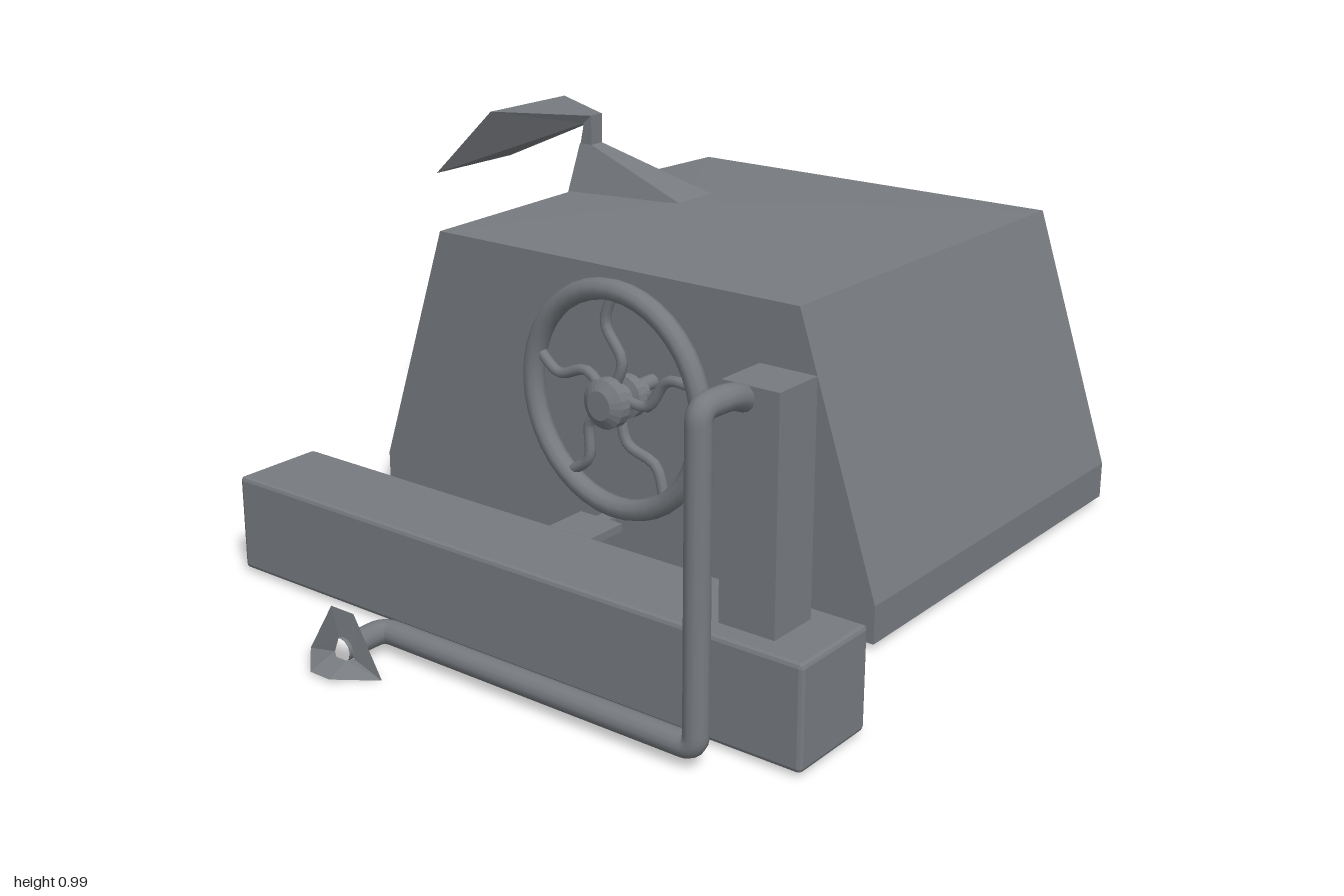
import * as THREE from 'three';
import { ConvexGeometry } from 'three/addons/geometries/ConvexGeometry.js';
import { RoundedBoxGeometry } from 'three/addons/geometries/RoundedBoxGeometry.js';

// Dark blue-grey metal throughout
const color = 0x777b80;
const flat = new THREE.MeshStandardMaterial({ color, flatShading: true, side: THREE.DoubleSide });
const smooth = new THREE.MeshStandardMaterial({ color });
const V = (x, y, z) => new THREE.Vector3(x, y, z);

function add(parent, name, geometry, material = flat) {
  const mesh = new THREE.Mesh(geometry, material);
  mesh.name = name;
  parent.add(mesh);
  return mesh;
}

const hull = (points) => new ConvexGeometry(points.map((p) => V(...p)));

// Box given by its minimum and maximum corners
function box(parent, name, a, b, bevel = 0) {
  const s = b.map((v, i) => v - a[i]);
  const geo = bevel ? new RoundedBoxGeometry(...s, 1, bevel) : new THREE.BoxGeometry(...s);
  add(parent, name, geo).position.set(...a.map((v, i) => (v + b[i]) / 2));
}

// Open skin between two rings of equal length
function skin(ringA, ringB) {
  const pos = [];
  ringA.forEach((a, i) => {
    const j = (i + 1) % ringA.length;
    pos.push(...a, ...ringB[i], ...ringB[j], ...a, ...ringB[j], ...ringA[j]);
  });
  const geo = new THREE.BufferGeometry();
  geo.setAttribute('position', new THREE.Float32BufferAttribute(pos, 3));
  geo.computeVertexNormals();
  return geo;
}

// Polyline path with rounded corners
function roundedPath(points, r) {
  const path = new THREE.CurvePath();
  let from = points[0];
  for (let i = 1; i < points.length - 1; i++) {
    const p = points[i];
    const before = p.clone().add(points[i - 1].clone().sub(p).setLength(r));
    const after = p.clone().add(points[i + 1].clone().sub(p).setLength(r));
    path.add(new THREE.LineCurve3(from, before));
    path.add(new THREE.QuadraticBezierCurve3(before, p, after));
    from = after;
  }
  path.add(new THREE.LineCurve3(from, points[points.length - 1]));
  return path;
}

function makeWheel() {
  const wheel = new THREE.Group();
  wheel.name = 'handWheel';
  add(wheel, 'wheelRim', new THREE.TorusGeometry(0.263, 0.026, 10, 40), smooth);
  // Stepped hub, turned about the wheel axis
  const profile = [[0, -0.055], [0.035, -0.055], [0.06, -0.04], [0.06, -0.012], [0.035, 0],
    [0.035, 0.025], [0.052, 0.03], [0.052, 0.055], [0.03, 0.06], [0.03, 0.09], [0, 0.09]];
  const hub = new THREE.LatheGeometry(profile.map(([r, y]) => new THREE.Vector2(r, y)), 20);
  add(wheel, 'wheelHub', hub.rotateX(Math.PI / 2));
  // S-shaped spokes
  for (let i = 0; i < 5; i++) {
    const curve = new THREE.CatmullRomCurve3([V(0.03, 0, 0), V(0.1, 0.025, 0), V(0.18, -0.025, 0), V(0.26, 0, 0)]);
    const spoke = add(wheel, 'wheelSpoke', new THREE.TubeGeometry(curve, 14, 0.013, 8), smooth);
    spoke.rotation.z = (i / 5) * Math.PI * 2 + 0.3;
  }
  // Local +z points towards the housing
  wheel.rotation.y = Math.PI / 2 - 0.07;
  wheel.position.set(-0.292, 0.505, 0.143);
  return wheel;
}

export function createModel() {
  const model = new THREE.Group();

  // Tapered housing with a faintly peaked roof
  const section = [[0.016, 0.765], [0.11, 0.765], [0.768, 0.545], [0.768, -0.545], [0.125, -0.76], [0.016, -0.76]];
  const corners = [-0.14, 1].flatMap((x) => section.map(([y, z]) => [x, y, z]));
  add(model, 'housing', hull([...corners, [0.43, 0.792, -0.2], [0.43, 0.781, -0.541]]));

  // Roof outlet: sloped foot, neck and open hood facing back
  const outlet = new THREE.Group();
  outlet.name = 'roofOutlet';
  model.add(outlet);
  add(outlet, 'outletFoot', hull([
    [0.39, 0.793, -0.192], [0.532, 0.793, -0.192], [0.36, 0.765, -0.55], [0.5, 0.765, -0.55],
    [0.405, 0.906, -0.5], [0.45, 0.906, -0.5], [0.405, 0.906, -0.54], [0.45, 0.906, -0.54]]));
  add(outlet, 'outletNeck', hull([0.405, 0.45].flatMap((x) =>
    [[x, 0.895, -0.5], [x, 0.895, -0.54], [x, 0.986, -0.5], [x, 0.966, -0.525]])));
  add(outlet, 'outletHood', skin(
    [[0.405, 0.985, -0.5], [0.45, 0.985, -0.5], [0.45, 0.96, -0.53], [0.405, 0.96, -0.53]],
    [[0.275, 0.987, -0.745], [0.583, 0.987, -0.745], [0.583, 0.789, -0.955], [0.275, 0.789, -0.955]]));

  // Side beam with its upright post
  box(model, 'sideBeam', [-0.716, 0.01, -0.684], [-0.478, 0.249, 0.954], 0.01);
  box(model, 'post', [-0.66, 0.235, 0.71], [-0.53, 0.77, 0.848]);

  // Coupling between beam and housing
  add(model, 'couplingFlare', hull([-1, 1].flatMap((s) => [-1, 1].flatMap((t) =>
    [[-0.485, 0.129 + t * 0.032, s * 0.185], [-0.38, 0.129 + t * 0.011, s * 0.065]]))));
  box(model, 'couplingPlate', [-0.385, 0.119, -0.065], [-0.17, 0.139, 0.065]);
  box(model, 'couplingPin', [-0.175, 0.122, -0.02], [-0.13, 0.136, 0.02]);

  // Hand wheel on a short shaft
  model.add(makeWheel());
  const shaft = add(model, 'wheelShaft', new THREE.CylinderGeometry(0.018, 0.018, 0.16, 16).rotateZ(Math.PI / 2), smooth);
  shaft.position.set(-0.21, 0.51, 0.135);

  // Drain pipe from the post to the nozzle
  const path = roundedPath([V(-0.65, 0.738, 0.76), V(-0.71, 0.762, 0.77), V(-0.807, 0.762, 0.765),
    V(-0.807, 0.046, 0.765), V(-0.807, 0.046, -0.11), V(-0.94, 0.046, -0.11)], 0.032);
  add(model, 'pipe', new THREE.TubeGeometry(path, 220, 0.028, 12), smooth);

  // Open flared nozzle with a slanted mouth
  add(model, 'nozzle', skin(
    [[-0.94, 0.025, -0.125], [-0.94, 0.025, -0.095], [-0.93, 0.03, -0.08],
      [-0.93, 0.07, -0.095], [-0.93, 0.07, -0.125], [-0.93, 0.03, -0.14]],
    [[-1, 0.006, -0.145], [-1, 0.006, -0.085], [-0.925, 0, 0],
      [-0.925, 0.136, -0.08], [-0.925, 0.136, -0.15], [-0.925, 0.011, -0.225]]));

  return model;
}
